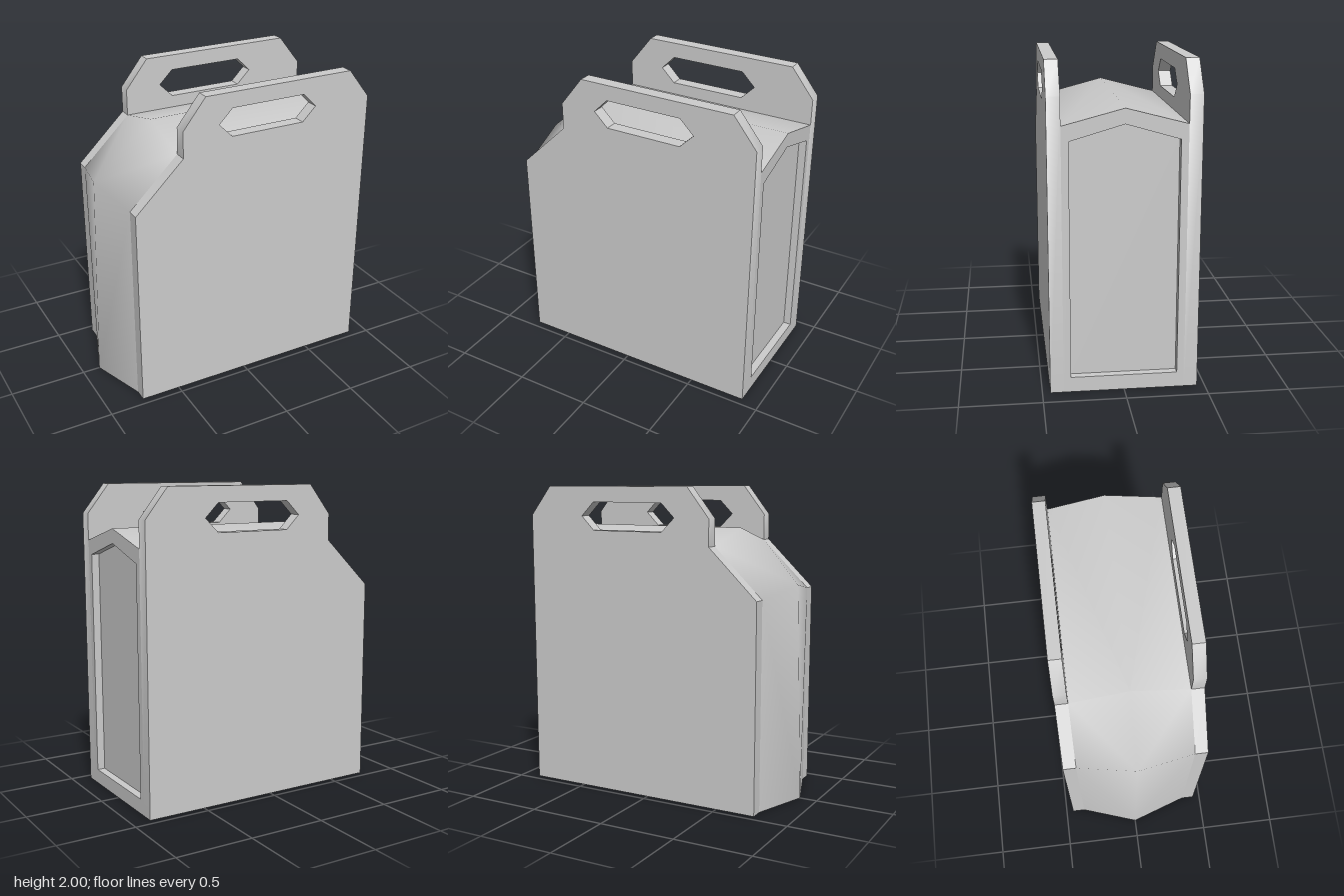
import * as THREE from 'three';
import { toCreasedNormals } from 'three/addons/utils/BufferGeometryUtils.js';

const material = new THREE.MeshStandardMaterial({ color: 0xcccccc });
const shapeOf = (pts) => new THREE.Shape(pts.map(([x, y]) => new THREE.Vector2(x, y)));
const PLATE_IN = 0.37, PLATE_OUT = 0.452, END_X = 0.88, RECESS = 0.05;

// Skin through rows of points; quads are split symmetrically about the middle column
function loft(rows) {
  const n = rows[0].length, index = [];
  for (let i = 0; i < rows.length - 1; i++) {
    for (let j = 0; j < n - 1; j++) {
      const a = i * n + j, b = a + 1, c = a + n, d = c + 1;
      if (j % 2) index.push(a, c, d, a, d, b);
      else index.push(a, c, b, c, d, b);
    }
  }
  const geo = new THREE.BufferGeometry();
  geo.setAttribute('position', new THREE.Float32BufferAttribute(rows.flat(2), 3));
  geo.setIndex(index);
  geo.computeVertexNormals();
  return geo;
}

export function createModel() {
  const group = new THREE.Group();
  const add = (name, geo) => {
    const mesh = new THREE.Mesh(geo, material);
    mesh.name = name;
    group.add(mesh);
    return mesh;
  };

  // Two side plates, each with a handle cut-out
  const plate = shapeOf([[-0.76, 0], [0.88, 0], [0.88, 1.81], [0.73, 2],
    [-0.29, 2], [-0.44, 1.81], [-0.44, 1.64], [-0.76, 1.33]]);
  plate.holes.push(shapeOf([[-0.2, 1.81], [-0.11, 1.9], [0.39, 1.9],
    [0.48, 1.81], [0.39, 1.72], [-0.11, 1.72]]));
  const plateGeo = toCreasedNormals(
    new THREE.ExtrudeGeometry(plate, { depth: PLATE_OUT - PLATE_IN, bevelEnabled: false }), 0.7);
  add('frontPlate', plateGeo).position.z = PLATE_IN;
  add('backPlate', plateGeo).position.z = -PLATE_OUT;

  // Ridged body skin between the plates: [edge x, edge y, ridge x, ridge y]
  const stations = [
    [-0.76, 0, -0.885, 0],
    [-0.76, 1.33, -0.84, 1.39],
    [-0.44, 1.64, -0.44, 1.737],
    [END_X, 1.64, END_X, 1.737],
  ];
  add('bodySkin', loft(stations.map(([ex, ey, rx, ry]) =>
    [[ex, ey, PLATE_IN], [rx, ry, 0], [ex, ey, -PLATE_IN]])));

  // Flat base
  const base = new THREE.ShapeGeometry(shapeOf([[-0.76, -PLATE_IN], [END_X, -PLATE_IN],
    [END_X, PLATE_IN], [-0.76, PLATE_IN], [-0.885, 0]]));
  add('base', base.rotateX(Math.PI / 2));

  // End face: frame, recess walls and sunken panel
  const inner = [[-0.325, 0.095], [0.325, 0.095], [0.325, 1.55], [0, 1.645], [-0.325, 1.55]];
  const frame = shapeOf([[-PLATE_IN, 0], [PLATE_IN, 0], [PLATE_IN, 1.64], [0, 1.737], [-PLATE_IN, 1.64]]);
  frame.holes.push(shapeOf(inner));
  add('endFrame', new THREE.ShapeGeometry(frame).rotateY(Math.PI / 2).translate(END_X, 0, 0));
  add('endPanel', new THREE.ShapeGeometry(shapeOf(inner)).rotateY(Math.PI / 2)
    .translate(END_X - RECESS, 0, 0));
  const loop = [...inner, inner[0]];
  const walls = loft([END_X - RECESS, END_X].map((x) => loop.map(([s, y]) => [x, y, -s]))).toNonIndexed();
  walls.computeVertexNormals();
  add('recessWalls', walls);

  return group;
}
